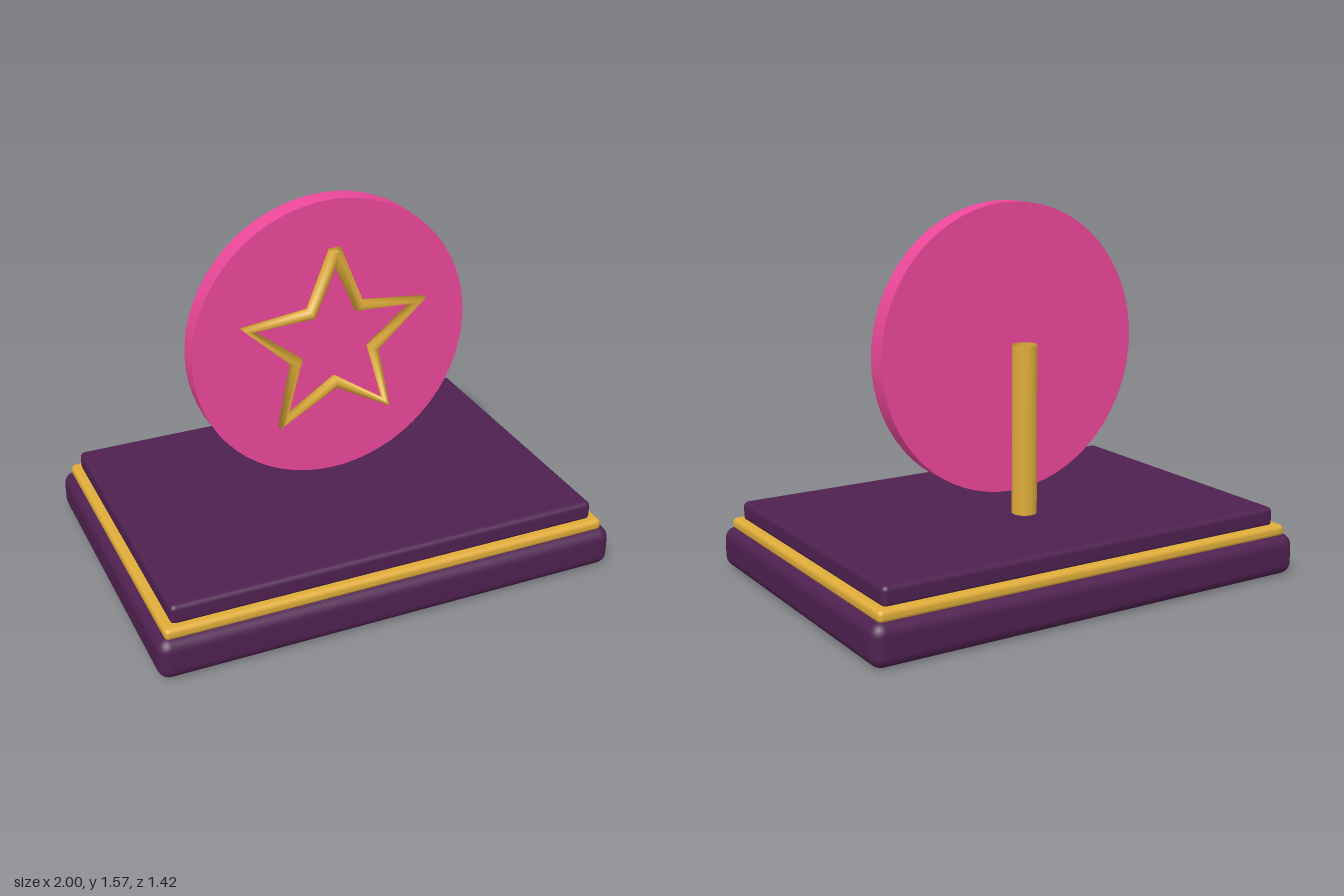
import * as THREE from 'three';
import { RoundedBoxGeometry } from 'three/addons/geometries/RoundedBoxGeometry.js';

const purple = new THREE.MeshStandardMaterial({ color: 0x4f2150 });
const pink = new THREE.MeshStandardMaterial({ color: 0xec4899 });
const gold = new THREE.MeshStandardMaterial({ color: 0xdfac3a });
const goldOpen = new THREE.MeshStandardMaterial({ color: 0xdfac3a, side: THREE.DoubleSide });

const DISC_Y = 0.967;

function addMesh(group, name, geometry, material, x = 0, y = 0, z = 0) {
  const mesh = new THREE.Mesh(geometry, material);
  mesh.name = name;
  mesh.position.set(x, y, z);
  group.add(mesh);
  return mesh;
}

// Rounded slab spanning y0..y1
function addSlab(group, name, width, depth, y0, y1, radius, material) {
  const geometry = new RoundedBoxGeometry(width, y1 - y0, depth, 3, radius);
  addMesh(group, name, geometry, material, 0, (y0 + y1) / 2, 0);
}

// Straight-edged star path, starting and ending at the top point
function starPath(outer, inner) {
  const corners = [];
  for (let i = 0; i <= 10; i++) {
    const a = Math.PI / 2 + (i * Math.PI) / 5;
    const r = i % 2 ? inner : outer;
    corners.push(new THREE.Vector3(r * Math.cos(a), r * Math.sin(a), 0));
  }
  const path = new THREE.CurvePath();
  for (let i = 0; i < 10; i++) path.add(new THREE.LineCurve3(corners[i], corners[i + 1]));
  return path;
}

export function createModel() {
  const model = new THREE.Group();
  model.name = 'starTrophy';

  // Stepped base
  addSlab(model, 'baseSlab', 2, 1.42, 0, 0.175, 0.05, purple);
  addSlab(model, 'baseTrim', 1.93, 1.36, 0.165, 0.215, 0.02, gold);
  addSlab(model, 'baseTop', 1.856, 1.29, 0.205, 0.29, 0.022, purple);

  // Hollow post behind the disc
  const post = new THREE.CylinderGeometry(0.053, 0.053, 0.72, 16, 1, true);
  addMesh(model, 'post', post, goldOpen, 0, 0.64, -0.142);

  // Upright disc
  const disc = new THREE.CylinderGeometry(0.606, 0.606, 0.09, 64);
  disc.rotateX(Math.PI / 2);
  addMesh(model, 'disc', disc, pink, 0, DISC_Y, 0);

  // Star outline, one tube section per corner so the bars taper to the points
  const star = new THREE.TubeGeometry(starPath(0.4, 0.18), 10, 0.028, 8, false);
  addMesh(model, 'starOutline', star, goldOpen, 0, DISC_Y, 0.073);

  return model;
}
